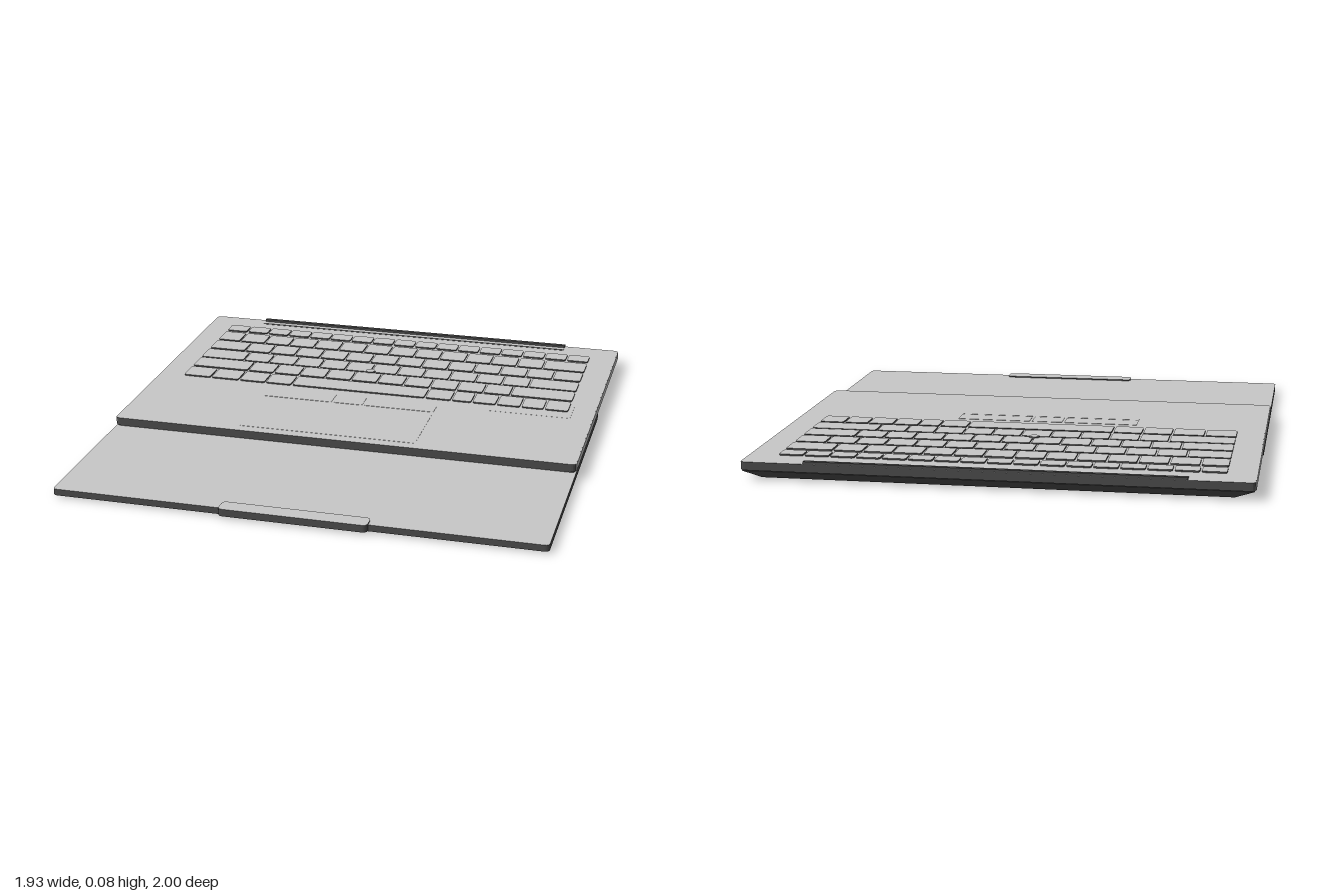
import * as THREE from 'three';

export function createModel() {
  const model = new THREE.Group();
  const material = (name, color) => {
    const m = new THREE.MeshStandardMaterial({ color });
    m.name = name;
    return m;
  };
  const light = material('lightGrey', 0xc8c8c8);
  const mid = material('midGrey', 0xa2a2a2);
  const dark = material('darkGrey', 0x4a4a4a);

  const add = (name, geometry, mat, parent = model) => {
    const mesh = new THREE.Mesh(geometry, mat);
    mesh.name = name;
    parent.add(mesh);
    return mesh;
  };

  // Box given by its limits on each axis
  const block = (name, x0, x1, y0, y1, z0, z1, mat, parent) => {
    const mesh = add(name, new THREE.BoxGeometry(x1 - x0, y1 - y0, z1 - z0), mat, parent);
    mesh.position.set((x0 + x1) / 2, (y0 + y1) / 2, (z0 + z1) / 2);
    return mesh;
  };

  // Horizontal slab with rounded corners; materials are [caps, sides]
  const slab = (name, x0, x1, y0, y1, z0, z1, r, materials, parent) => {
    const s = new THREE.Shape();
    s.moveTo(x0 + r, -z1);
    s.lineTo(x1 - r, -z1);
    s.quadraticCurveTo(x1, -z1, x1, -z1 + r);
    s.lineTo(x1, -z0 - r);
    s.quadraticCurveTo(x1, -z0, x1 - r, -z0);
    s.lineTo(x0 + r, -z0);
    s.quadraticCurveTo(x0, -z0, x0, -z0 - r);
    s.lineTo(x0, -z1 + r);
    s.quadraticCurveTo(x0, -z1, x0 + r, -z1);
    const g = new THREE.ExtrudeGeometry(s, { depth: y1 - y0, bevelEnabled: false, curveSegments: 4 });
    g.rotateX(-Math.PI / 2);
    g.translate(0, y0, 0);
    return add(name, g, materials, parent);
  };

  // Screen panel lying flat under the base
  const panel = new THREE.Group();
  panel.name = 'screenPanel';
  model.add(panel);
  slab('panelShell', -0.965, 0.965, 0.008, 0.031, -0.335, 0.98, 0.018, [mid, dark], panel);
  slab('panelFace', -0.965, 0.965, 0.031, 0.034, -0.335, 0.98, 0.018, [light, dark], panel);
  slab('panelTab', -0.29, 0.29, 0.01, 0.039, 0.93, 1, 0.02, [light, dark], panel);
  for (const side of [-1, 1]) {
    slab('panelFoot', side * 0.78 - 0.06, side * 0.78 + 0.06, 0, 0.009, 0.165, 0.2, 0.015, dark, panel);
  }

  // Keyboard base: dark front and back, light flanks
  const base = new THREE.Group();
  base.name = 'keyboardBase';
  model.add(base);
  slab('baseBody', -0.963, 0.963, 0.039, 0.071, -1, 0.328, 0.018, [light, dark], base);
  slab('baseUnderside', -0.96, 0.96, 0.035, 0.039, -0.993, 0.323, 0.018, dark, base);
  for (const side of [-1, 1]) {
    block('baseFlank', side * 0.964 - 0.002, side * 0.964 + 0.002, 0.039, 0.0705, -0.985, 0.315, light, base);
  }

  // Rear underbody: walls slope inward to a flat floor (box face order +x -x +y -y +z -z)
  const under = new THREE.BoxGeometry(1.92, 0.028, 0.665);
  const p = under.attributes.position;
  for (let i = 0; i < p.count; i++) {
    if (p.getY(i) < 0) {
      p.setX(i, p.getX(i) * 0.925);
      if (p.getZ(i) < 0) p.setZ(i, p.getZ(i) + 0.02);
    }
  }
  under.computeVertexNormals();
  add('rearUnderbody', under, [dark, dark, dark, mid, dark, dark], base).position.set(0, 0.022, -0.6625);

  // Hinge ridge and vent slot
  block('hingeRidge', -0.72, 0.72, 0.06, 0.081, -0.999, -0.981, dark, base);
  block('ventSlot', -0.72, 0.72, 0.069, 0.072, -0.958, -0.944, dark, base);

  // Keys: light tops, dark sides
  const keys = new THREE.Group();
  keys.name = 'keys';
  base.add(keys);
  const run = (start, pitch, count) => Array.from({ length: count + 1 }, (_, i) => start + i * pitch);
  const rows = [
    [-0.88, -0.808, run(-0.858, 0.1007, 17)],
    [-0.785, -0.678, [-0.858, ...run(-0.75, 0.118, 12), 0.855]],
    [-0.665, -0.56, [-0.858, ...run(-0.688, 0.118, 12), 0.855]],
    [-0.545, -0.44, [-0.858, ...run(-0.655, 0.118, 11), 0.855]],
    [-0.43, -0.325, [-0.858, ...run(-0.597, 0.118, 10), 0.855]],
    [-0.31, -0.205, [-0.858, -0.73, -0.6, -0.48, -0.36, 0.235, 0.35, 0.44, 0.545, 0.65, 0.75, 0.855]],
  ];
  for (const [z0, z1, xs] of rows) {
    for (let i = 0; i < xs.length - 1; i++) {
      slab('keyCap', xs[i] + 0.004, xs[i + 1] - 0.004, 0.07, 0.077, z0, z1, 0.012, [light, dark], keys);
    }
  }

  // Pointing stick
  const stick = add('pointingStick', new THREE.CylinderGeometry(0.02, 0.024, 0.014, 20), [dark, light, dark], base);
  stick.position.set(-0.065, 0.075, -0.445);

  // Touchpad, its buttons and the arrow key plate
  slab('touchpad', -0.44, 0.305, 0.07, 0.072, -0.055, 0.28, 0.012, light, base);
  for (const [x0, x1] of [[-0.44, -0.14], [-0.13, -0.005], [0.005, 0.305]]) {
    slab('touchpadButton', x0, x1, 0.07, 0.0725, -0.15, -0.062, 0.008, light, base);
  }
  slab('arrowKeyPlate', 0.52, 0.87, 0.07, 0.0715, -0.325, -0.14, 0.004, light, base);

  return model;
}
